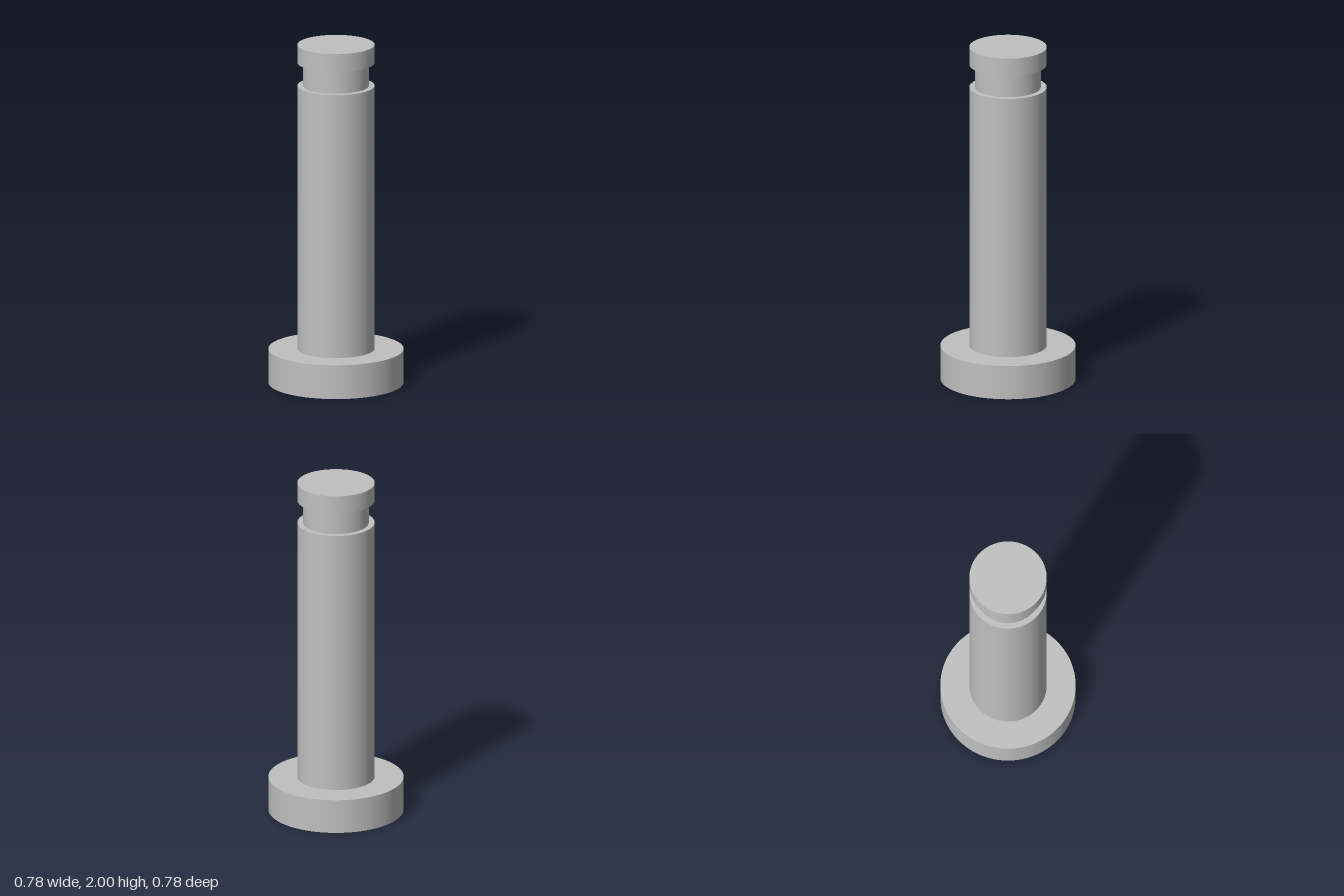
import * as THREE from 'three';

export function createModel() {
  const group = new THREE.Group();
  group.name = 'clevisPin';

  const steel = new THREE.MeshStandardMaterial({ color: 0xc0c0c0 });
  steel.name = 'steel grey';

  // Coaxial round sections stacked from the ground up
  const sections = [
    { name: 'headFlange', radius: 0.388, bottom: 0, top: 0.2 },
    { name: 'shaft', radius: 0.222, bottom: 0.2, top: 1.757 },
    { name: 'retainingGroove', radius: 0.188, bottom: 1.757, top: 1.894 },
    { name: 'endCollar', radius: 0.222, bottom: 1.894, top: 2 },
  ];

  for (const { name, radius, bottom, top } of sections) {
    const geometry = new THREE.CylinderGeometry(radius, radius, top - bottom, 96);
    const mesh = new THREE.Mesh(geometry, steel);
    mesh.name = name;
    mesh.position.y = (bottom + top) / 2;
    group.add(mesh);
  }

  return group;
}
